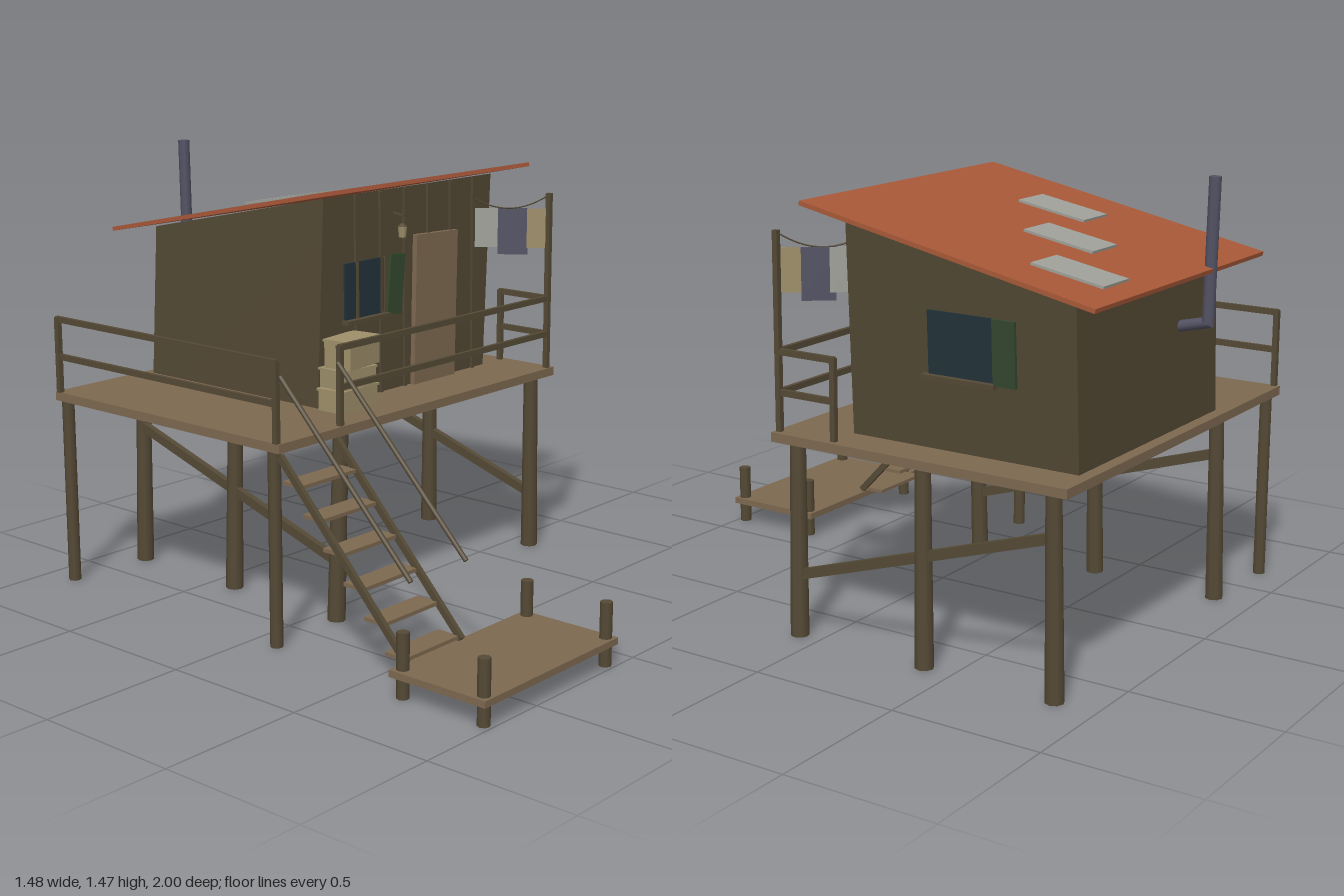
import * as THREE from 'three';

const mat = (name, color, side = THREE.FrontSide) => {
  const m = new THREE.MeshStandardMaterial({ color, side });
  m.name = name;
  return m;
};

export function createModel() {
  const model = new THREE.Group();
  model.name = 'stiltHut';
  const plank = mat('plankWood', 0x7d6850);
  const timber = mat('darkTimber', 0x544935);
  const wall = mat('wallWood', 0x524834);
  const rust = mat('rustRoof', 0xa85838);
  const sheet = mat('paleSheet', 0x9fa098, THREE.DoubleSide);
  const glass = mat('darkGlass', 0x22323a);
  const green = mat('shutterGreen', 0x34472f);
  const straw = mat('straw', 0x9e8f6a, THREE.DoubleSide);
  const steel = mat('steel', 0x525264, THREE.DoubleSide);

  const add = (name, geo, m, parent = model) => {
    const mesh = new THREE.Mesh(geo, m);
    mesh.name = name;
    parent.add(mesh);
    return mesh;
  };
  // Box given by its min and max corners
  const box = (name, x0, x1, y0, y1, z0, z1, m, parent) => {
    const b = add(name, new THREE.BoxGeometry(x1 - x0, y1 - y0, z1 - z0), m, parent);
    b.position.set((x0 + x1) / 2, (y0 + y1) / 2, (z0 + z1) / 2);
    return b;
  };
  // Square beam between two points
  const beam = (name, a, b, w, h, m, parent = model) => {
    const p = new THREE.Vector3(...a), q = new THREE.Vector3(...b);
    const mesh = add(name, new THREE.BoxGeometry(w, h, p.distanceTo(q)), m, parent);
    mesh.position.copy(p).lerp(q, 0.5);
    mesh.lookAt(q);
    return mesh;
  };
  // Round pole from a (bottom) to b (top)
  const pole = (name, a, b, r0, r1, m, sides = 8) => {
    const p = new THREE.Vector3(...a), q = new THREE.Vector3(...b);
    const geo = new THREE.CylinderGeometry(r1, r0, p.distanceTo(q), sides);
    const mesh = add(name, geo, m);
    mesh.position.copy(p).lerp(q, 0.5);
    mesh.quaternion.setFromUnitVectors(new THREE.Vector3(0, 1, 0), q.sub(p).normalize());
    return mesh;
  };

  // Deck on leaning stilts, with a sloping brace along each side
  box('deck', -0.68, 0.74, 0.64, 0.67, -0.92, 0.14, plank);
  [0.085, -0.395, -0.855].forEach((z, i) => {
    pole('stilt', [-0.36 + 0.005 * i, 0, z - 0.005], [-0.345, 0.64, z + 0.005], 0.03, 0.025, timber);
    pole('stilt', [0.69, 0, z - 0.005], [0.67 + 0.012 * i, 0.64, z + 0.005], 0.03, 0.025, timber);
  });
  for (const z of [0.1, -0.88]) pole('cornerStilt', [-0.66, 0, z], [-0.66, 0.64, z], 0.021, 0.021, timber);
  for (const x of [-0.355, 0.685]) beam('brace', [x, 0.205, 0.07], [x, 0.5, -0.85], 0.022, 0.032, timber);

  // Landing with corner posts
  box('landing', -0.745, -0.085, 0.068, 0.09, 0.64, 1, plank);
  for (const x of [-0.715, -0.112])
    for (const z of [0.67, 0.972]) pole('landingPost', [x, 0, z], [x, 0.207, z], 0.02, 0.02, timber);

  // Stairs: treads, stringers and handrails
  for (let i = 0; i < 6; i++) {
    const y = 0.55 - i * 0.09, z = 0.15 + i * 0.083;
    box('tread', -0.675, -0.425, y - 0.006, y + 0.006, z, z + 0.082, plank);
  }
  for (const x of [-0.68, -0.422]) {
    beam('stringer', [x, 0.095, 0.655], [x, 0.635, 0.145], 0.016, 0.022, timber);
    pole('handrail', [x, 0.35, 0.67], [x, 0.885, 0.15], 0.008, 0.008, timber);
  }

  // Deck railings
  const railPost = (x, z, top = 0.93) => box('railPost', x - 0.009, x + 0.009, 0.67, top, z - 0.009, z + 0.009, timber);
  railPost(-0.385, 0.125);
  railPost(0.714, -0.085);
  railPost(-0.675, 0.125);
  railPost(-0.675, -0.9);
  railPost(0.714, 0.125, 1.3);
  for (const y of [0.795, 0.924]) {
    beam('frontRail', [-0.39, y, 0.125], [0.72, y, 0.125], 0.014, 0.02, timber);
    beam('sideRail', [0.714, y, 0.125], [0.714, y, -0.09], 0.014, 0.02, timber);
    beam('longRail', [-0.675, y, 0.13], [-0.675, y, -0.905], 0.014, 0.02, timber);
  }

  // Hut body: sloping top, whole body leaning sideways
  const body = new THREE.BoxGeometry(0.875, 1, 0.8);
  const pos = body.attributes.position;
  for (let i = 0; i < pos.count; i++) {
    const top = pos.getY(i) > 0, front = pos.getZ(i) > 0;
    pos.setXYZ(i, pos.getX(i) + (top ? 0.201 : 0.168), top ? (front ? 1.36 : 1.192) : 0.67, pos.getZ(i) - 0.48);
  }
  body.computeVertexNormals();
  add('hutWalls', body, wall);
  for (let i = 0; i < 6; i++) {
    const x = -0.083 + i * 0.1235;
    beam('batten', [x + 0.003, 0.67, -0.077], [x - 0.002, 1.357, -0.077], 0.012, 0.012, wall);
  }

  // Door, slightly crooked
  const door = new THREE.Shape([[0.2, 0.67], [0.42, 0.67], [0.433, 1.185], [0.212, 1.192]]
    .map((p) => new THREE.Vector2(...p)));
  add('door', new THREE.ExtrudeGeometry(door, { depth: 0.02, bevelEnabled: false }), plank).position.z = -0.081;

  // Front window with sill and hanging shutter
  box('frontWindow', -0.14, 0.053, 0.945, 1.135, -0.08, -0.072, glass);
  box('frontMullion', -0.086, -0.078, 0.945, 1.135, -0.073, -0.067, timber);
  box('frontJamb', 0.05, 0.058, 0.945, 1.135, -0.08, -0.066, timber);
  box('frontSill', -0.15, 0.065, 0.932, 0.946, -0.08, -0.05, timber);
  const shutter = box('frontShutter', 0.068, 0.14, 0.935, 1.14, -0.072, -0.06, green);
  shutter.rotation.z = -0.1;

  // Side window follows the lean of the wall
  const side = new THREE.Group();
  side.name = 'sideWindow';
  side.position.set(0.622, 1, -0.48);
  side.rotation.z = -0.048;
  model.add(side);
  box('sideGlass', -0.002, 0.007, -0.095, 0.1, -0.117, 0.108, glass, side);
  box('sideSill', -0.002, 0.025, -0.11, -0.095, -0.13, 0.125, timber, side);
  box('sideShutter', 0, 0.015, -0.1, 0.1, -0.2, -0.122, green, side);

  // Sloping roof with three loose patches
  const roof = new THREE.Group();
  roof.name = 'roof';
  roof.position.set(0.195, 1.288, -0.485);
  roof.rotation.x = -Math.atan2(0.21, 1.015);
  model.add(roof);
  box('roofSheet', -0.535, 0.535, -0.007, 0.007, -0.518, 0.518, rust, roof);
  [[-0.058, -0.42], [0.218, -0.61], [0.493, -0.803]].forEach(([x, z]) => {
    const patch = box('roofPatch', -0.073, 0.073, 0.01, 0.018, -0.122, 0.122, sheet, roof);
    patch.position.x = x - 0.195;
    patch.position.z = (z + 0.485) * 1.02;
    patch.rotation.x = 0.02;
  });

  // Stove pipe with elbow into the back wall
  pole('stovePipe', [0, 1.015, -0.975], [0, 1.467, -0.983], 0.02, 0.02, steel);
  pole('pipeElbow', [0, 0.995, -0.87], [0, 1.022, -0.985], 0.018, 0.018, steel);

  // Stacked crates, each a little turned
  [[-0.19, 0.67, 0.18, 0.075, 0.05], [-0.19, 0.745, 0.155, 0.065, -0.06], [-0.17, 0.81, 0.165, 0.095, 0.12]]
    .forEach(([x, y, w, h, turn]) => {
      const c = box('crate', x - w / 2, x + w / 2, y, y + h - 0.008, -0.07, 0.035, straw);
      c.rotation.y = turn;
      const lid = box('crateLid', x - w / 2 - 0.004, x + w / 2 + 0.004, y + h - 0.008, y + h, -0.074, 0.039, straw);
      lid.rotation.y = turn;
    });

  // Lantern on a wall hook
  beam('lanternHook', [0.11, 1.278, -0.08], [0.11, 1.272, -0.035], 0.006, 0.006, timber);
  pole('lanternWire', [0.11, 1.235, -0.04], [0.11, 1.275, -0.04], 0.002, 0.002, timber, 5);
  pole('lantern', [0.11, 1.198, -0.04], [0.11, 1.235, -0.04], 0.012, 0.016, straw);
  pole('lanternCap', [0.11, 1.235, -0.04], [0.11, 1.245, -0.04], 0.017, 0.006, timber);

  // Clothesline with three hung cloths
  const line = new THREE.QuadraticBezierCurve3(new THREE.Vector3(0.714, 1.295, 0.125),
    new THREE.Vector3(0.632, 1.205, 0.022), new THREE.Vector3(0.55, 1.28, -0.08));
  add('clothesline', new THREE.TubeGeometry(line, 12, 0.0025, 5), timber);
  [[0.683, 0.093, 0.066, 0.14, straw], [0.637, 0.024, 0.106, 0.165, steel], [0.585, -0.042, 0.1, 0.14, sheet]]
    .forEach(([x, z, w, h, m]) => {
      const cloth = box('cloth', x - w / 2, x + w / 2, 1.246 - h, 1.246, z - 0.002, z + 0.002, m);
      cloth.rotation.y = -0.89;
    });

  return model;
}
